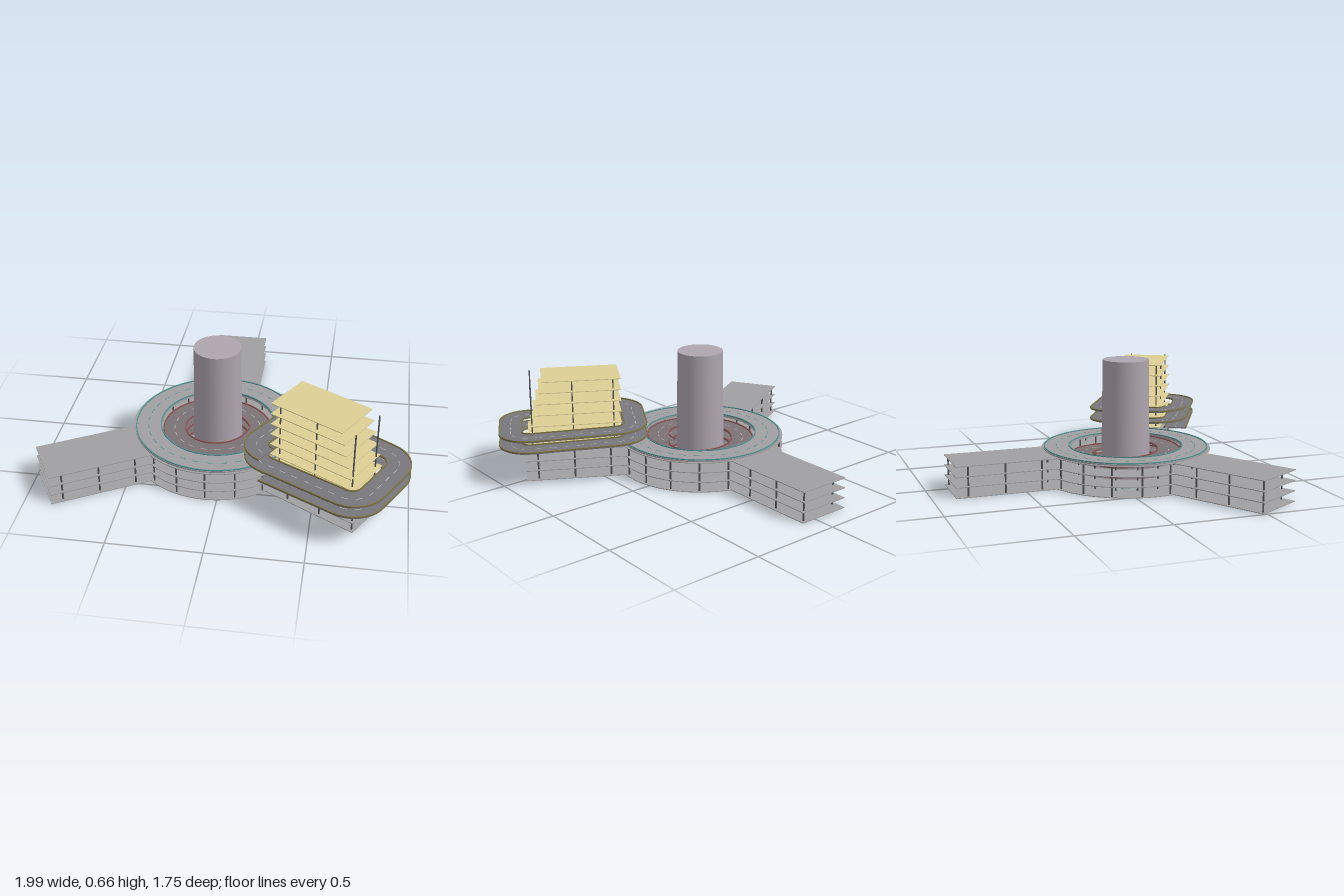
import * as THREE from 'three';
import { mergeGeometries, toCreasedNormals } from 'three/addons/utils/BufferGeometryUtils.js';

const mat = (color) => new THREE.MeshStandardMaterial({ color });
const slabMat = mat(0xa0a0a2), coreMat = mat(0xaea5ae), columnMat = mat(0x55565a);
const roadMat = mat(0x77777c), innerRoadMat = mat(0x7b7275), dashMat = mat(0xb8b8b8);
const redMat = mat(0x8c5050), tealMat = mat(0x4f9090), oliveMat = mat(0x7d7440);
const floorMat = mat(0xdccf94);

const CX = -0.065, CZ = 0.115;

function add(parent, name, geometry, material) {
  const mesh = new THREE.Mesh(geometry, material);
  mesh.name = name;
  parent.add(mesh);
  return mesh;
}

// Flat plate from a plan shape (shape y points to the back)
function plate(shape, y, thickness) {
  const g = new THREE.ExtrudeGeometry(shape, { depth: thickness, bevelEnabled: false, curveSegments: 48 });
  return g.rotateX(-Math.PI / 2).translate(0, y, 0);
}

function ring(inner, outer) {
  const s = new THREE.Shape().absarc(0, 0, outer, 0, Math.PI * 2);
  s.holes.push(new THREE.Path().absarc(0, 0, inner, 0, Math.PI * 2, true));
  return s;
}

function column(x, z, y0, y1, r = 0.005) {
  return new THREE.CylinderGeometry(r, r, y1 - y0, 6).translate(x, (y0 + y1) / 2, z);
}

// Sweep a rectangle (offsets o0..o1 outward, y0..y1 up) along path(t)
function sweep(path, t0, t1, n, o0, o1, y0, y1) {
  const corners = [[o0, y0], [o1, y0], [o1, y1], [o0, y1]];
  const pos = [], idx = [];
  for (let k = 0; k <= n; k++) {
    const p = path(t0 + (t1 - t0) * k / n);
    for (const [o, y] of corners) pos.push(p.x + p.nx * o, p.y + y, p.z + p.nz * o);
  }
  for (let k = 0; k < n; k++) {
    for (let i = 0; i < 4; i++) {
      const a = k * 4 + i, b = k * 4 + (i + 1) % 4;
      idx.push(a, a + 4, b + 4, a, b + 4, b);
    }
  }
  const e = n * 4;
  idx.push(0, 1, 2, 0, 2, 3, e, e + 2, e + 1, e, e + 3, e + 2);
  const g = new THREE.BufferGeometry();
  g.setAttribute('position', new THREE.Float32BufferAttribute(pos, 3));
  g.setIndex(idx);
  return toCreasedNormals(g, 0.6);
}

// Road with kerbs on both edges and a dashed centre line
function addRamp(parent, name, path, turns, halfWidth, dashes, road, kerb) {
  const n = turns * 96, w = halfWidth;
  add(parent, name + 'Road', sweep(path, 0, turns, n, -w, w, 0, 0.005), road);
  add(parent, name + 'Kerbs', mergeGeometries([
    sweep(path, 0, turns, n, -w, -w + 0.006, 0.005, 0.011),
    sweep(path, 0, turns, n, w - 0.006, w, 0.005, 0.011),
  ]), kerb);
  const list = [];
  for (let i = 0; i < turns * dashes; i++) {
    list.push(sweep(path, (i + 0.2) / dashes, (i + 0.7) / dashes, 3, -0.002, 0.002, 0.005, 0.0058));
  }
  add(parent, name + 'LaneDashes', mergeGeometries(list), dashMat);
}

const circlePath = (r, y0, pitch) => (t) => {
  const a = t * Math.PI * 2, c = Math.cos(a), s = -Math.sin(a);
  return { x: r * c, z: r * s, y: y0 + pitch * t, nx: c, nz: s };
};

// Rounded rectangle by arc length; straight half lengths p and q, corner radius r
const ovalPath = (p, q, r, y0, pitch) => {
  const arc = r * Math.PI / 2, total = 4 * (p + q + arc);
  const cornerAt = [[p, q], [p, -q], [-p, -q], [-p, q]];
  return (t) => {
    let d = (t - Math.floor(t + 1e-9)) * total, side = 0;
    const straight = (i) => (i % 2 ? 2 * q : 2 * p);
    while (side < 3 && d > straight(side) + arc) d -= straight(side++) + arc;
    const len = straight(side), back = Math.max(0, len - d);
    const a = Math.PI / 2 * (1 - side) - Math.max(0, d - len) / r;
    const nx = Math.cos(a), nz = Math.sin(a);
    const b = Math.PI / 2 * (1 - side);
    const [cx, cz] = cornerAt[side];
    return {
      x: cx + r * nx - Math.sin(b) * back, z: cz + r * nz + Math.cos(b) * back,
      y: y0 + pitch * t, nx, nz,
    };
  };
};

// Round deck with three wings and a central opening
function deckShape() {
  const R = 0.47, L = 0.993, h = 0.15, d = Math.asin(h / R), s = new THREE.Shape();
  for (let i = 0; i < 3; i++) {
    const a = Math.PI / 2 + i * Math.PI * 2 / 3, c = Math.cos(a), n = Math.sin(a);
    if (i === 0) s.moveTo(R * Math.cos(a - d), R * Math.sin(a - d));
    s.lineTo(L * c + h * n, L * n - h * c);
    s.lineTo(L * c - h * n, L * n + h * c);
    s.lineTo(R * Math.cos(a + d), R * Math.sin(a + d));
    s.absarc(0, 0, R, a + d, a + Math.PI * 2 / 3 - d, false);
  }
  s.holes.push(new THREE.Path().absarc(0, 0, 0.31, 0, Math.PI * 2, true));
  return s;
}

export function createModel() {
  const model = new THREE.Group();
  model.name = 'parkingTower';

  const hub = new THREE.Group();
  hub.name = 'hub';
  hub.position.set(CX, 0, CZ);
  model.add(hub);

  // Central core
  add(hub, 'core', new THREE.CylinderGeometry(0.127, 0.136, 0.66, 48).translate(0, 0.33, 0), coreMat);

  // Four decks
  const shape = deckShape();
  for (let i = 0; i < 4; i++) add(hub, 'deck' + (i + 1), plate(shape, i * 0.0555, 0.004), slabMat);

  // Deck columns: two circles and staggered rows along each wing
  const posts = [];
  for (let i = 0; i < 18; i++) {
    const a = (i + 0.5) * Math.PI / 9;
    for (const r of [0.335, 0.455]) posts.push(column(r * Math.cos(a), r * Math.sin(a), 0, 0.168));
  }
  for (let w = 0; w < 3; w++) {
    const a = -Math.PI / 2 + w * Math.PI * 2 / 3, c = Math.cos(a), s = Math.sin(a);
    for (const side of [-1, 1]) {
      for (let i = 0; i < 3; i++) {
        const l = 0.525 + i * 0.2 + (side > 0 ? 0.05 : 0), v = side * 0.13;
        posts.push(column(l * c - v * s, l * s + v * c, 0, 0.168));
      }
    }
  }
  add(hub, 'deckColumns', mergeGeometries(posts), columnMat);

  // Ring road on the top deck
  add(hub, 'ringRoad', plate(ring(0.312, 0.458), 0.1705, 0.008), slabMat);
  for (const r of [0.315, 0.452]) {
    add(hub, 'ringKerb', plate(ring(r - 0.003, r + 0.003), 0.1785, 0.005), tealMat);
  }
  const ringPath = circlePath(0.385, 0.1785, 0), ringDashes = [];
  for (let i = 0; i < 32; i++) {
    ringDashes.push(sweep(ringPath, i / 32, (i + 0.5) / 32, 3, -0.002, 0.002, 0, 0.0008));
  }
  add(hub, 'ringLaneDashes', mergeGeometries(ringDashes), tealMat);

  // Spiral ramp around the core
  addRamp(hub, 'spiralRamp', circlePath(0.241, 0.004, 0.055), 3, 0.064, 20, innerRoadMat, redMat);

  // Annex over one wing; its local x runs outward along the wing
  const annex = new THREE.Group();
  annex.name = 'annex';
  annex.position.set(0.562, 0, 0.478);
  annex.rotation.y = -Math.PI / 6;
  model.add(annex);
  addRamp(annex, 'ovalRamp', ovalPath(0.227, 0.111, 0.115, 0.177, 0.0645), 2, 0.065, 28, roadMat, oliveMat);

  // Floors step back on the outer end as they rise
  for (let i = 0; i < 7; i++) {
    const end = 0.265 - i * 0.017, length = 0.265 + end;
    const g = new THREE.BoxGeometry(length, 0.004, 0.274);
    add(annex, 'annexFloor' + (i + 1), g.translate((end - 0.265) / 2, 0.184 + i * 0.0625, 0), floorMat);
  }
  const annexPosts = [];
  for (const x of [-0.224, 0, 0.224]) {
    for (const z of [-0.108, 0.108]) annexPosts.push(column(x, z, 0.18, 0.559, 0.004));
  }
  add(annex, 'annexColumns', mergeGeometries(annexPosts), columnMat);

  return model;
}
